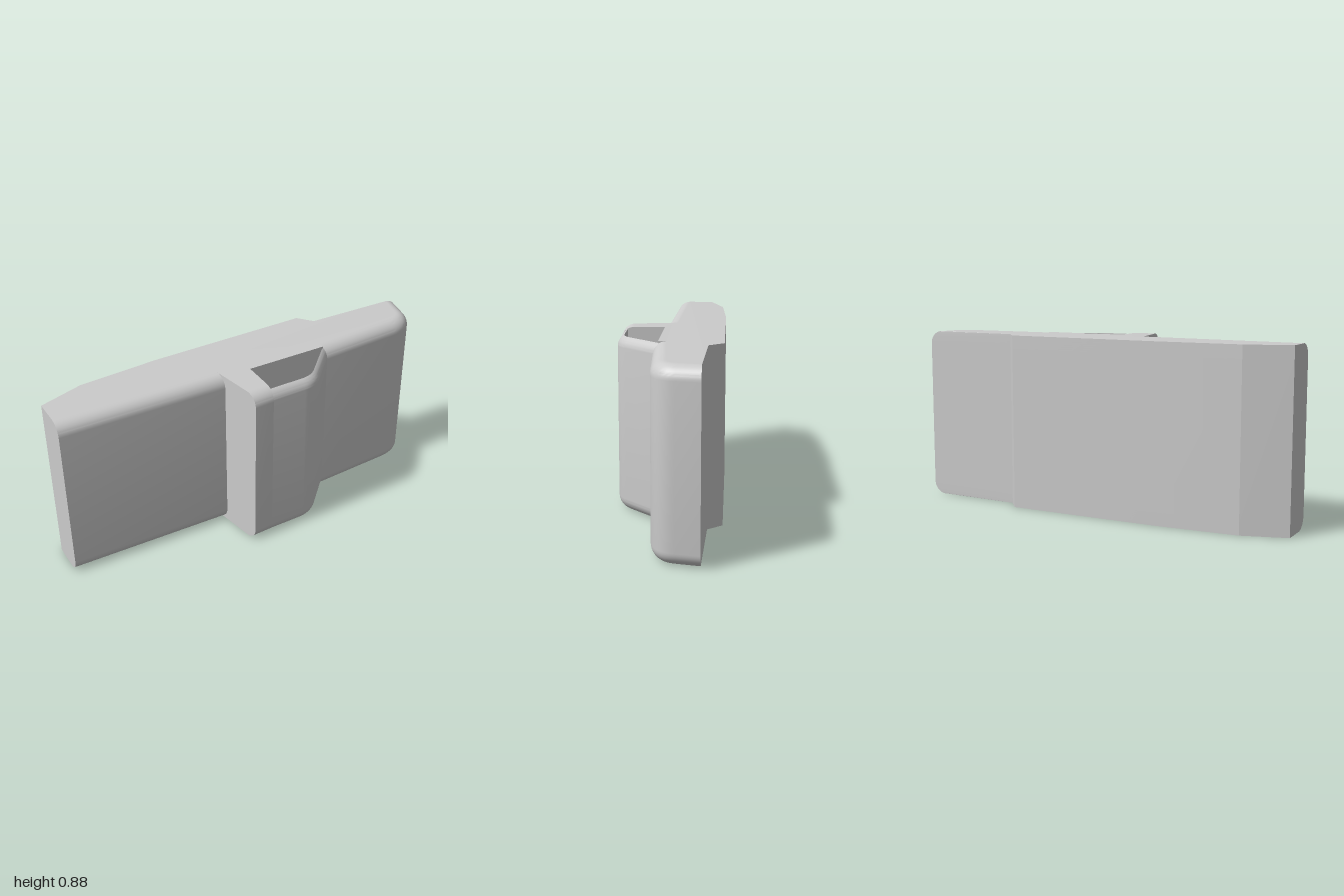
import * as THREE from 'three';
import { toCreasedNormals } from 'three/addons/utils/BufferGeometryUtils.js';

const H = 0.875; // full height
const R = 0.065; // edge rounding of the front
const STEPS = 10;

// Skin a list of closed rings; optional flat caps on the first and last ring
function loft(rings, capped) {
  const n = rings[0].length;
  const pos = rings.flat().flatMap((p) => [p.x, p.y, p.z]);
  const index = [];
  for (let r = 0; r < rings.length - 1; r++) {
    for (let i = 0; i < n; i++) {
      const j = (i + 1) % n;
      const a = r * n + i, b = r * n + j, c = a + n, d = b + n;
      index.push(a, b, d, a, d, c);
    }
  }
  if (capped) {
    const last = (rings.length - 1) * n;
    const flat = rings[0].map((p) => new THREE.Vector2(p.x, -p.z));
    for (const [a, b, c] of THREE.ShapeUtils.triangulateShape(flat, [])) {
      index.push(c, b, a, last + a, last + b, last + c);
    }
  }
  const geo = new THREE.BufferGeometry();
  geo.setAttribute('position', new THREE.Float32BufferAttribute(pos, 3));
  geo.setIndex(index);
  return toCreasedNormals(geo, 0.21);
}

// Rounded edge profile: inset and height from bottom to top, starting at a given angle
function edgeProfile(startAngle) {
  const lower = [];
  for (let k = 0; k <= STEPS; k++) {
    const a = THREE.MathUtils.lerp(startAngle, Math.PI / 2, k / STEPS);
    lower.push({ inset: R * (1 - Math.sin(a)), y: R * (1 - Math.cos(a)) });
  }
  const upper = lower.map((p) => ({ inset: p.inset, y: H - p.y })).reverse();
  return [...lower, ...upper];
}

// Plan outline of body and post: x, z, then the direction in which the rounding insets
function bodyOutline() {
  const pts = [
    [-1, 0.02, 0, -1],
    [-0.165, 0.045, -0.18, -0.98],
    [-0.125, 0.262, -0.18, -0.98],
    [-0.025, 0.258, 0, -1],
    [-0.025, 0.04, 0, 0],
    [0.39, 0.045, 0, 0],
    [0.39, 0.07, 0, -1],
  ];
  // rounded right-hand end
  const nose = new THREE.CubicBezierCurve(
    new THREE.Vector2(0.83, 0.048), new THREE.Vector2(0.92, 0.043),
    new THREE.Vector2(0.965, 0.005), new THREE.Vector2(0.978, -0.065));
  for (let i = 0; i <= 14; i++) {
    const p = nose.getPoint(i / 14), t = nose.getTangent(i / 14);
    pts.push([p.x, p.y, t.y, -t.x]);
  }
  pts.push([1, -0.175, -1, 0]);
  // flat back with its step and tapered left end
  for (const [x, z] of [[0.49, -0.19], [0.43, -0.262], [-0.38, -0.262], [-0.78, -0.24], [-1, -0.172]]) {
    pts.push([x, z, 0, 0]);
  }
  return pts;
}

function bodyGeometry() {
  const outline = bodyOutline();
  const rings = edgeProfile(0).map(({ inset, y }) =>
    outline.map(([x, z, dx, dz]) => new THREE.Vector3(x + dx * inset, y, z + dz * inset)));
  return loft(rings, true);
}

// Thin wall bridging from the post back to the body, leaving an open slot behind it
function strapGeometry() {
  const thickness = 0.032;
  const profile = edgeProfile(Math.asin(1 - thickness / R)).reverse();
  // each station: outer x, z, inner x, z
  const stations = [[-0.025, 0.258, -0.025, 0.225]];
  const outer = new THREE.QuadraticBezierCurve(
    new THREE.Vector2(0.15, 0.257), new THREE.Vector2(0.218, 0.257), new THREE.Vector2(0.262, 0.212));
  const inner = new THREE.QuadraticBezierCurve(
    new THREE.Vector2(0.15, 0.225), new THREE.Vector2(0.204, 0.225), new THREE.Vector2(0.24, 0.19));
  for (let i = 0; i <= 8; i++) {
    const o = outer.getPoint(i / 8), n = inner.getPoint(i / 8);
    stations.push([o.x, o.y, n.x, n.y]);
  }
  stations.push([0.405, 0.066, 0.385, 0.045], [0.43, 0.04, 0.41, 0.02]);
  const rings = stations.map(([ox, oz, ix, iz]) => profile.map(({ inset, y }) => {
    const f = inset / thickness;
    return new THREE.Vector3(
      THREE.MathUtils.lerp(ox, ix, f), y, THREE.MathUtils.lerp(oz, iz, f));
  }));
  return loft(rings, false);
}

export function createModel() {
  const group = new THREE.Group();
  const material = new THREE.MeshStandardMaterial({ color: 0xcccccc });
  const add = (name, geometry) => {
    const mesh = new THREE.Mesh(geometry, material);
    mesh.name = name;
    group.add(mesh);
  };
  add('bodyAndPost', bodyGeometry());
  add('slotStrap', strapGeometry());
  return group;
}
